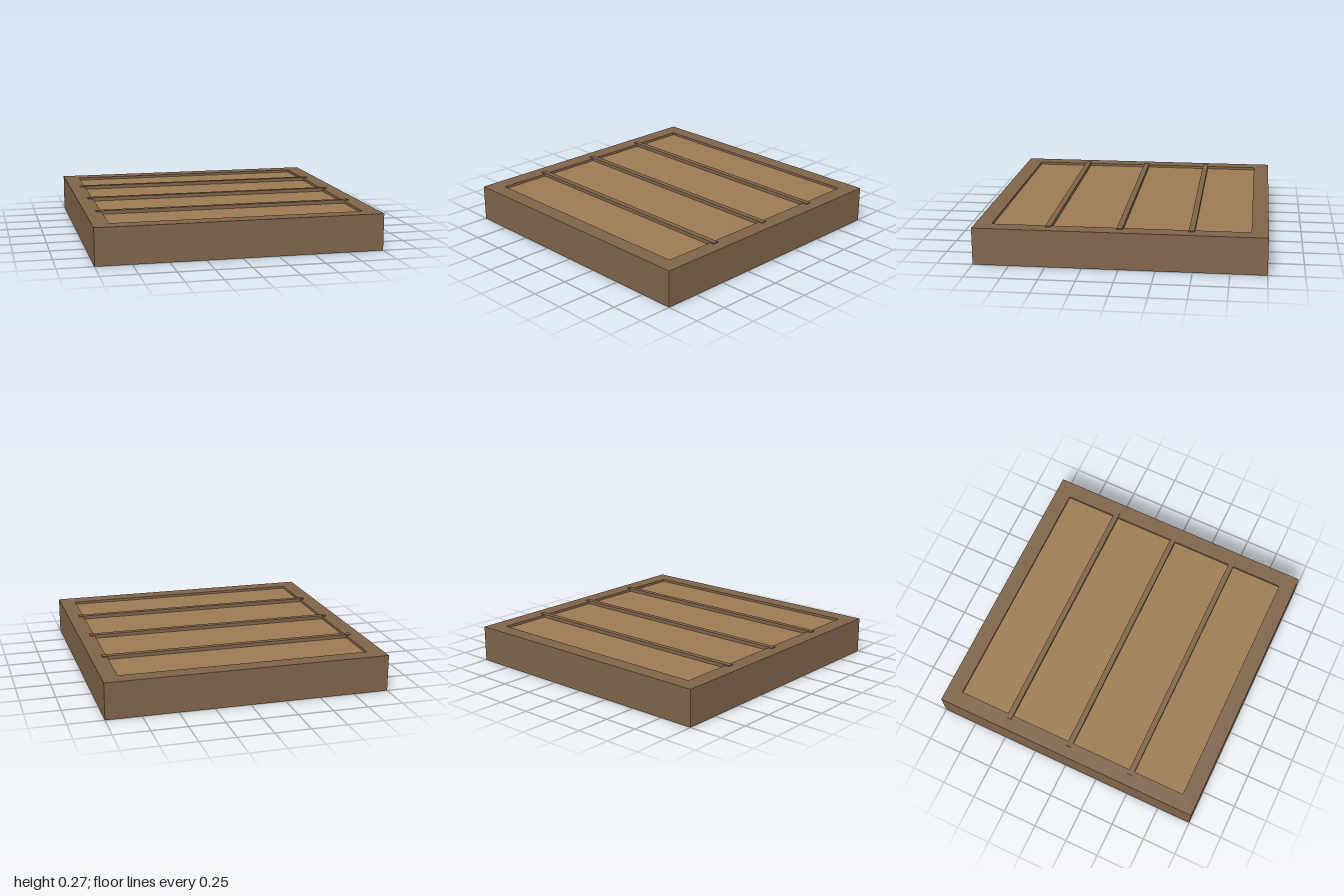
import * as THREE from 'three';

const HEIGHT = 0.26;
const INNER = 0.885;
const RECESS = 0.018;

// Square outline traced by half-size
function square(Type, h) {
  const p = new Type();
  p.moveTo(-h, -h);
  p.lineTo(h, -h);
  p.lineTo(h, h);
  p.lineTo(-h, h);
  p.closePath();
  return p;
}

export function createModel() {
  const model = new THREE.Group();
  const frameMaterial = new THREE.MeshStandardMaterial({ color: 0x80644a });
  const panelMaterial = new THREE.MeshStandardMaterial({ color: 0x9c7b53 });

  function add(name, geometry, material, y = 0, z = 0) {
    const mesh = new THREE.Mesh(geometry, material);
    mesh.name = name;
    mesh.position.set(0, y, z);
    model.add(mesh);
  }

  // Square border frame with an open centre
  const outline = square(THREE.Shape, 1);
  outline.holes.push(square(THREE.Path, INNER));
  const frame = new THREE.ExtrudeGeometry(outline, { depth: HEIGHT, bevelEnabled: false });
  frame.rotateX(-Math.PI / 2);
  add('frame', frame, frameMaterial);

  // Panel recessed slightly above and below
  const panel = new THREE.BoxGeometry(INNER * 2, HEIGHT - RECESS * 2, INNER * 2);
  add('panel', panel, panelMaterial, HEIGHT / 2);

  // Three slats across the panel, lapping onto the frame
  const slatTop = HEIGHT + 0.007;
  const slatBottom = HEIGHT - RECESS - 0.005;
  const slat = new THREE.BoxGeometry(1.84, slatTop - slatBottom, 0.04);
  for (const z of [-0.487, 0, 0.487]) {
    add('slat', slat, frameMaterial, (slatTop + slatBottom) / 2, z);
  }

  return model;
}
